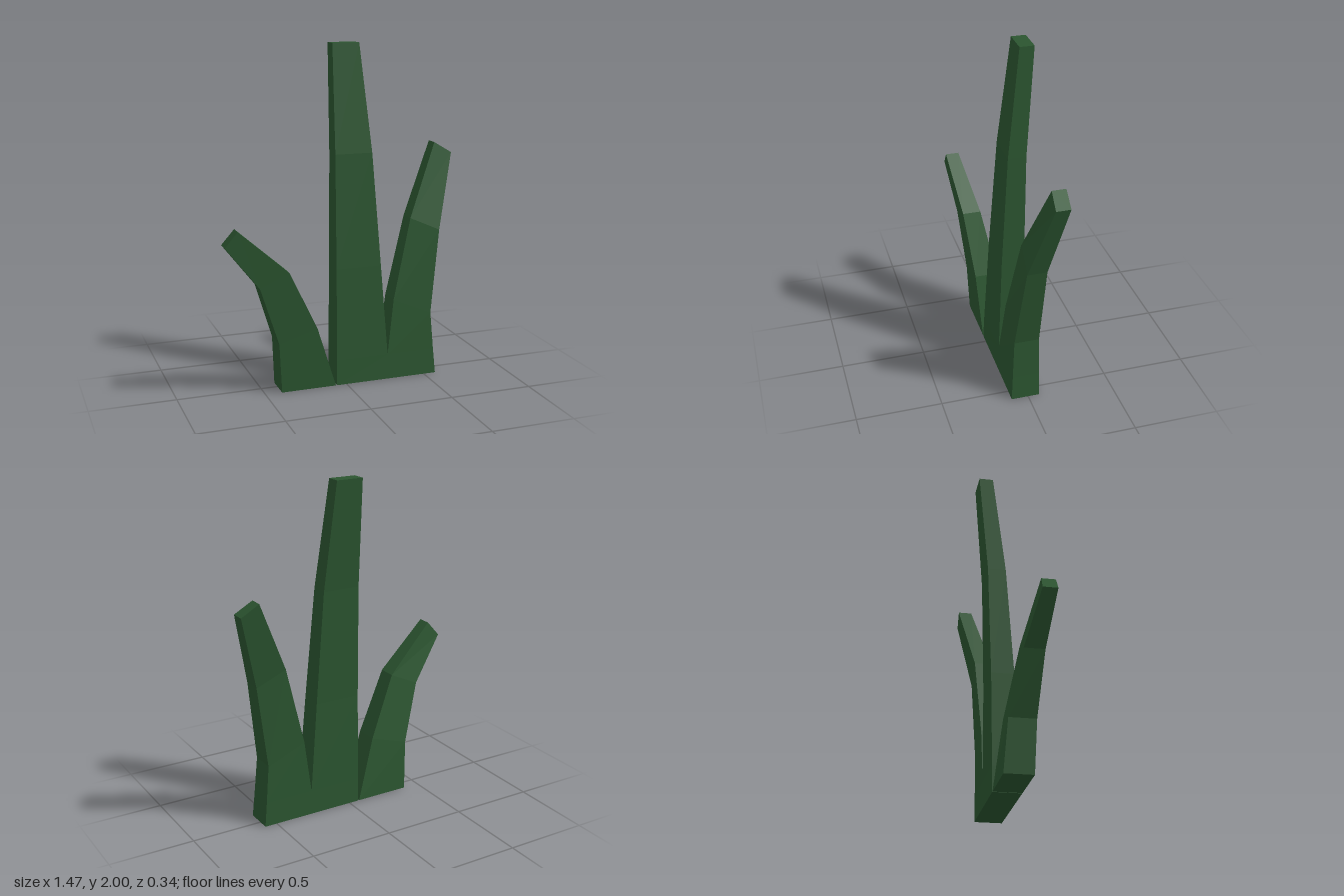
import * as THREE from 'three';

const material = new THREE.MeshStandardMaterial({ color: 0x2b5530, flatShading: true });

// Blade lofted through four-cornered sections.
// Each section is two edges, left and right: [x, y, front z, back z].
function blade(name, sections) {
  const rings = sections.map(([l, r]) => [
    [l[0], l[1], l[2]], [r[0], r[1], r[2]],
    [r[0], r[1], r[3]], [l[0], l[1], l[3]],
  ]);
  const pos = [];
  const quad = (a, b, c, d) => pos.push(...a, ...b, ...c, ...a, ...c, ...d);
  for (let i = 0; i < rings.length - 1; i++) {
    for (let j = 0; j < 4; j++) {
      const k = (j + 1) % 4;
      quad(rings[i][j], rings[i][k], rings[i + 1][k], rings[i + 1][j]);
    }
  }
  quad(...[...rings[0]].reverse()); // base
  quad(...rings[rings.length - 1]); // cut tip
  const geo = new THREE.BufferGeometry();
  geo.setAttribute('position', new THREE.Float32BufferAttribute(pos, 3));
  geo.computeVertexNormals();
  const mesh = new THREE.Mesh(geo, material);
  mesh.name = name;
  return mesh;
}

export function createModel() {
  const group = new THREE.Group();
  group.name = 'grassTuft';

  // Tall middle blade, leaning back
  group.add(blade('tallBlade', [
    [[-0.06, 0, 0.1, -0.065], [0.265, 0, 0.1, -0.065]],
    [[-0.058, 0.15, 0.093, -0.066], [0.265, 0.15, 0.09, -0.066]],
    [[-0.05, 0.7, 0.062, -0.072], [0.228, 0.7, 0.062, -0.072]],
    [[-0.04, 1.37, 0.015, -0.092], [0.187, 1.37, 0.015, -0.092]],
    [[-0.03, 2, -0.063, -0.147], [0.133, 2, -0.063, -0.147]],
  ]));

  // Medium blade, curving to the left and back
  group.add(blade('mediumBlade', [
    [[0.265, 0, 0.1, -0.065], [0.575, 0, 0.1, -0.065]],
    [[0.265, 0.15, 0.09, -0.066], [0.563, 0.15, 0.091, -0.066]],
    [[0.312, 0.48, 0.062, -0.07], [0.547, 0.38, 0.078, -0.068]],
    [[0.436, 0.96, 0.01, -0.093], [0.617, 0.88, 0.03, -0.085]],
    [[0.63, 1.393, -0.092, -0.173], [0.737, 1.328, -0.082, -0.166]],
  ]));

  // Short blade, curving to the right and forward
  group.add(blade('shortBlade', [
    [[-0.4, 0, 0.1, -0.065], [-0.068, 0, 0.1, -0.065]],
    [[-0.417, 0.3, 0.112, -0.042], [-0.185, 0.37, 0.113, -0.028]],
    [[-0.533, 0.65, 0.138, 0.02], [-0.36, 0.73, 0.142, 0.032]],
    [[-0.738, 0.912, 0.167, 0.083], [-0.664, 1.0, 0.172, 0.092]],
  ]));

  return group;
}
